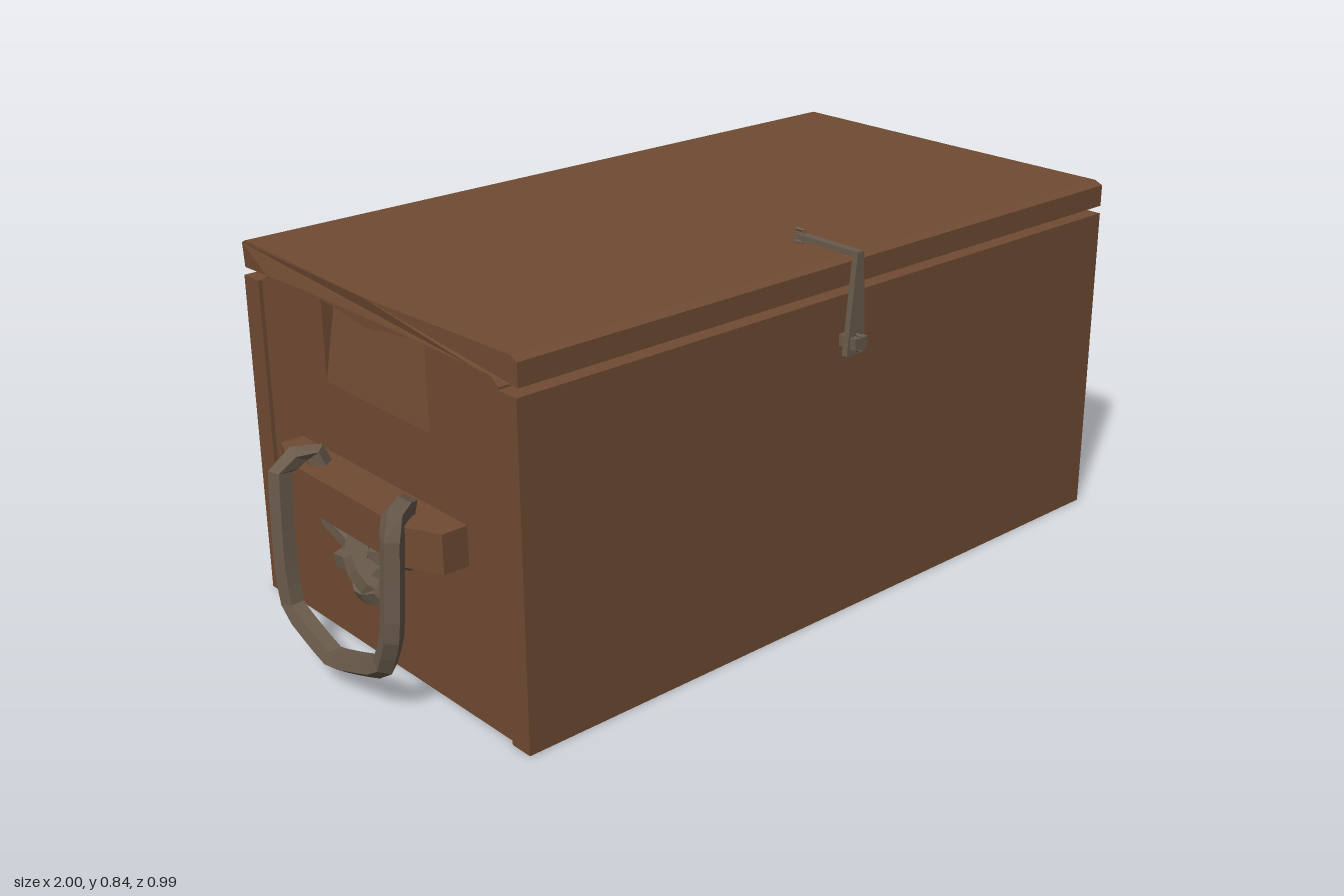
import * as THREE from 'three';

const wood = new THREE.MeshStandardMaterial({ name: 'brownWood', color: 0x6f4a32 });
const rope = new THREE.MeshStandardMaterial({ name: 'greyRope', color: 0x695a4b });
wood.flatShading = rope.flatShading = true;
rope.side = THREE.DoubleSide;

export function createModel() {
  const chest = new THREE.Group();
  chest.name = 'chest';

  const add = (name, geo, mat, parent = chest) => {
    const m = new THREE.Mesh(geo, mat);
    m.name = name;
    parent.add(m);
    return m;
  };
  // box given by its limits on each axis
  const box = (x0, x1, y0, y1, z0, z1) =>
    new THREE.BoxGeometry(x1 - x0, y1 - y0, z1 - z0).translate((x0 + x1) / 2, (y0 + y1) / 2, (z0 + z1) / 2);
  // outline of [z, y] points extruded along x
  const alongX = (pts, x0, x1) =>
    new THREE.ExtrudeGeometry(new THREE.Shape(pts.map(([z, y]) => new THREE.Vector2(-z, y))),
      { depth: x1 - x0, bevelEnabled: false }).rotateY(Math.PI / 2).translate(x0, 0, 0);
  // move each vertex by a rule
  const warp = (geo, rule) => {
    const p = geo.attributes.position, v = new THREE.Vector3();
    for (let i = 0; i < p.count; i++) {
      rule(v.fromBufferAttribute(p, i));
      p.setXYZ(i, v.x, v.y, v.z);
    }
    geo.computeVertexNormals();
    return geo;
  };
  // faceted rope through [x, y, z] points, mirrored by s
  const cord = (pts, r, s = 1, sides = 5, tension = 0.15) => {
    const curve = new THREE.CatmullRomCurve3(
      pts.map(([x, y, z]) => new THREE.Vector3(s * x, y, z)), false, 'catmullrom', tension);
    return new THREE.TubeGeometry(curve, (pts.length - 1) * 3, r, sides, false);
  };

  // Long walls and floor
  add('frontWall', box(-0.848, 0.848, 0.005, 0.738, 0.394, 0.448), wood);
  add('backWall', box(-0.848, 0.848, 0.005, 0.738, -0.49, -0.434), wood);
  add('floor', box(-0.8, 0.8, 0.008, 0.05, -0.42, 0.38), wood);

  // Lid with wavy underside, slightly narrower at its corners
  const lidOutline = [[0.45, 0.757], [0.34, 0.768], [0.15, 0.77], [-0.02, 0.75], [-0.2, 0.77],
    [-0.38, 0.766], [-0.488, 0.755], [-0.493, 0.808], [-0.48, 0.815], [-0.02, 0.81], [0.43, 0.815], [0.45, 0.806]];
  add('lid', warp(alongX(lidOutline, -0.858, 0.858), v => {
    if (v.z > 0.4 || v.z < -0.45) v.x *= 0.985;
  }), wood);

  for (const s of [1, -1]) {
    const end = new THREE.Group();
    end.name = s > 0 ? 'leftEnd' : 'rightEnd';
    chest.add(end);
    const slab = (pts, xa, xb) => alongX(pts, Math.min(s * xa, s * xb), Math.max(s * xa, s * xb));

    // End wall: two tall boards and a centre that leans in at the top
    add('endBoardFront', slab([[0.16, 0.008], [0.388, 0.008], [0.388, 0.74], [0.35, 0.765], [0.16, 0.77]], 0.79, 0.842), wood, end);
    add('endBoardBack', slab([[-0.2, 0.008], [-0.2, 0.77], [-0.39, 0.765], [-0.428, 0.74], [-0.428, 0.008]], 0.79, 0.842), wood, end);
    add('endBoardCentre', slab([[0.16, 0.008], [0.16, 0.58], [-0.2, 0.58], [-0.2, 0.008]], 0.79, 0.842), wood, end);
    add('leaningBoard', warp(slab([[0.16, 0.58], [0.16, 0.745], [-0.2, 0.745], [-0.2, 0.58]], 0.79, 0.842),
      v => { v.x -= s * 0.03 * (v.y - 0.58) / 0.165; }), wood, end);

    // Handle block with tapered ends
    const plan = [[0.84, -0.312], [0.895, -0.312], [0.938, -0.21], [0.938, 0.19], [0.9, 0.27], [0.84, 0.27]];
    add('handleBlock', new THREE.ExtrudeGeometry(
      new THREE.Shape(plan.map(([x, z]) => new THREE.Vector2(s * x, -z))),
      { depth: 0.085, bevelEnabled: false }).rotateX(-Math.PI / 2).translate(0, 0.34, 0), wood, end);

    // Rope loop hanging from the block
    add('ropeHandle', cord([[0.885, 0.41, 0.12], [0.9, 0.45, 0.155], [0.96, 0.445, 0.197], [0.975, 0.215, 0.195],
      [0.972, 0.12, 0.15], [0.97, 0.062, -0.03], [0.972, 0.12, -0.175], [0.975, 0.215, -0.19],
      [0.965, 0.43, -0.197], [0.9, 0.45, -0.18], [0.885, 0.41, -0.17]], 0.025, s), rope, end);

    // Strands below the block, knot and loose tail
    add('ropeStrandFront', cord([[0.885, 0.345, 0.15], [0.885, 0.312, 0.13], [0.89, 0.295, 0.05], [0.89, 0.27, -0.03]], 0.022, s), rope, end);
    add('ropeStrandBack', cord([[0.885, 0.345, -0.18], [0.885, 0.31, -0.16], [0.89, 0.285, -0.07], [0.89, 0.25, 0.02]], 0.022, s), rope, end);
    add('ropeTail', cord([[0.9, 0.27, 0], [0.9, 0.25, -0.05], [0.89, 0.235, -0.105]], 0.024, s), rope, end);
    add('knotCore', new THREE.DodecahedronGeometry(0.05).scale(0.75, 1, 1.15).translate(s * 0.89, 0.248, 0.02), rope, end);
    add('knotWrap', cord([[0.88, 0.215, 0.075], [0.915, 0.235, 0.04], [0.925, 0.275, 0.0], [0.89, 0.32, -0.03]], 0.027, s), rope, end);
    add('knotLoop', cord([[0.88, 0.27, 0.07], [0.91, 0.225, 0.06], [0.915, 0.21, 0.01], [0.89, 0.235, -0.035]], 0.024, s), rope, end);
  }

  // Latch: strap over the lid, widening tongue down the front, wire loops
  const latch = new THREE.Group();
  latch.name = 'latch';
  chest.add(latch);
  add('latchStrap', box(-0.009, 0.009, 0.822, 0.834, 0.305, 0.477), rope, latch);
  add('latchTongue', warp(box(-0.009, 0.009, 0.615, 0.832, 0.465, 0.479), v => {
    if (v.y < 0.7) v.x = v.x * 3 - 0.006;
  }), rope, latch);
  const ring = (name, z0, z1, y0, y1, x) => add(name, cord([[x, y0, z0], [x, y0, z1], [x, y1, z1], [x, y1, z0], [x, y0, z0]], 0.004, 1, 4, 0), rope, latch);
  ring('lidLoop', 0.292, 0.318, 0.815, 0.842, 0);
  ring('frontLoop', 0.474, 0.49, 0.625, 0.658, -0.006);
  add('latchPeg', box(-0.024, 0.012, 0.63, 0.655, 0.446, 0.494), rope, latch);

  return chest;
}
